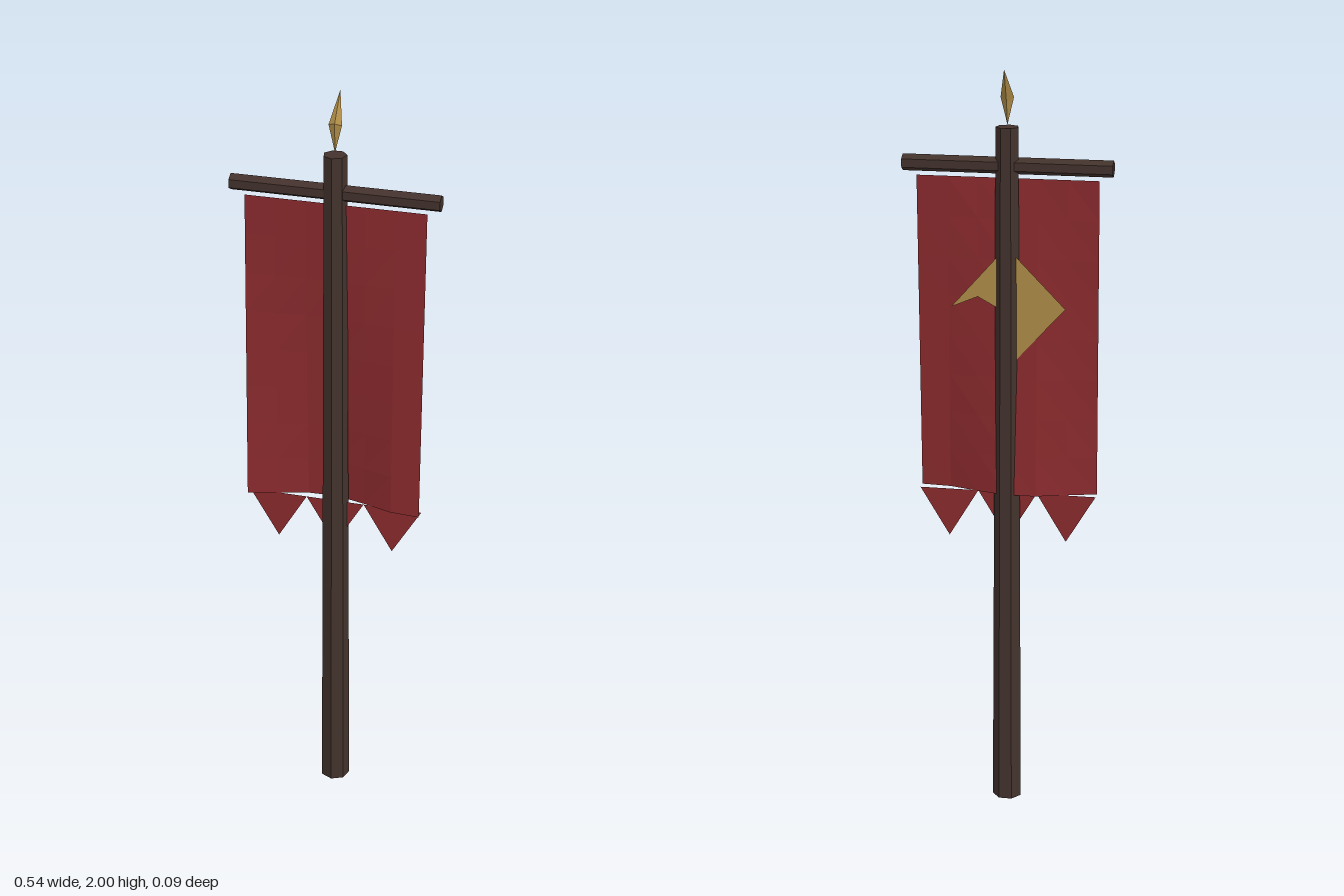
import * as THREE from 'three';

const Z = 0.0025; // depth of the pole axis

const paint = (name, color, extra = {}) =>
  Object.assign(new THREE.MeshStandardMaterial({ color, flatShading: true, ...extra }), { name });

export function createModel() {
  const wood = paint('dark wood', 0x43322c);
  const cloth = paint('red cloth', 0x8c2b2e, { side: THREE.DoubleSide });
  const gold = paint('gold', 0xb08d48, { side: THREE.DoubleSide });

  const group = new THREE.Group();
  group.name = 'banner';
  const add = (name, geometry, material, x = 0, y = 0, z = Z) => {
    const mesh = new THREE.Mesh(geometry, material);
    mesh.name = name;
    mesh.position.set(x, y, z);
    group.add(mesh);
  };

  // Tapered seven-sided pole
  add('pole', new THREE.CylinderGeometry(0.03, 0.04, 1.85, 7), wood, 0, 0.925);

  // Six-sided crossbar with an edge on top
  const bar = new THREE.CylinderGeometry(0.0215, 0.0215, 0.54, 6);
  bar.rotateY(Math.PI / 6).rotateZ(Math.PI / 2);
  add('crossbar', bar, wood, 0, 1.752);

  // Hanging cloth, its folds deepening towards the hem
  const top = 1.72, hem = 0.88, width = 0.47;
  const banner = new THREE.PlaneGeometry(width, top - hem, 6, 8);
  banner.translate(0, (top + hem) / 2, 0);
  const p = banner.attributes.position;
  for (let i = 0; i < p.count; i++) {
    const depth = 0.027 * (top - p.getY(i)) / (top - hem);
    p.setZ(i, -depth * Math.cos(13 * (p.getX(i) + 0.03)));
  }
  add('bannerCloth', banner, cloth);

  // Three flat pointed tails
  const half = width / 6;
  const tail = new THREE.ShapeGeometry(new THREE.Shape([
    new THREE.Vector2(-half, 0), new THREE.Vector2(0, -0.13), new THREE.Vector2(half, 0),
  ]));
  for (const i of [-1, 0, 1]) add('tail', tail, cloth, i * 2 * half, hem);

  // Gold patch on the back of the cloth
  const patch = [[-0.153, 1.388], [0, 1.545], [0.145, 1.382], [0.075, 1.412], [0.025, 1.385], [0, 1.22]];
  add('emblem', new THREE.ShapeGeometry(
    new THREE.Shape(patch.map(([x, y]) => new THREE.Vector2(x, y)))), gold, 0, 0, -0.012);

  // Finial: a four-sided spearhead leaning backwards
  const base = [0, 1.855, 0], tip = [0, 2, -0.0475];
  const ring = [[0, 1.93, 0.004], [0.017, 1.925, -0.002], [0, 1.915, -0.014], [-0.017, 1.925, -0.002]];
  const points = [];
  ring.forEach((a, i) => {
    const b = ring[(i + 1) % 4];
    points.push(...a, ...b, ...tip, ...b, ...a, ...base);
  });
  const spear = new THREE.BufferGeometry();
  spear.setAttribute('position', new THREE.Float32BufferAttribute(points, 3));
  spear.computeVertexNormals();
  add('finial', spear, gold);

  return group;
}
